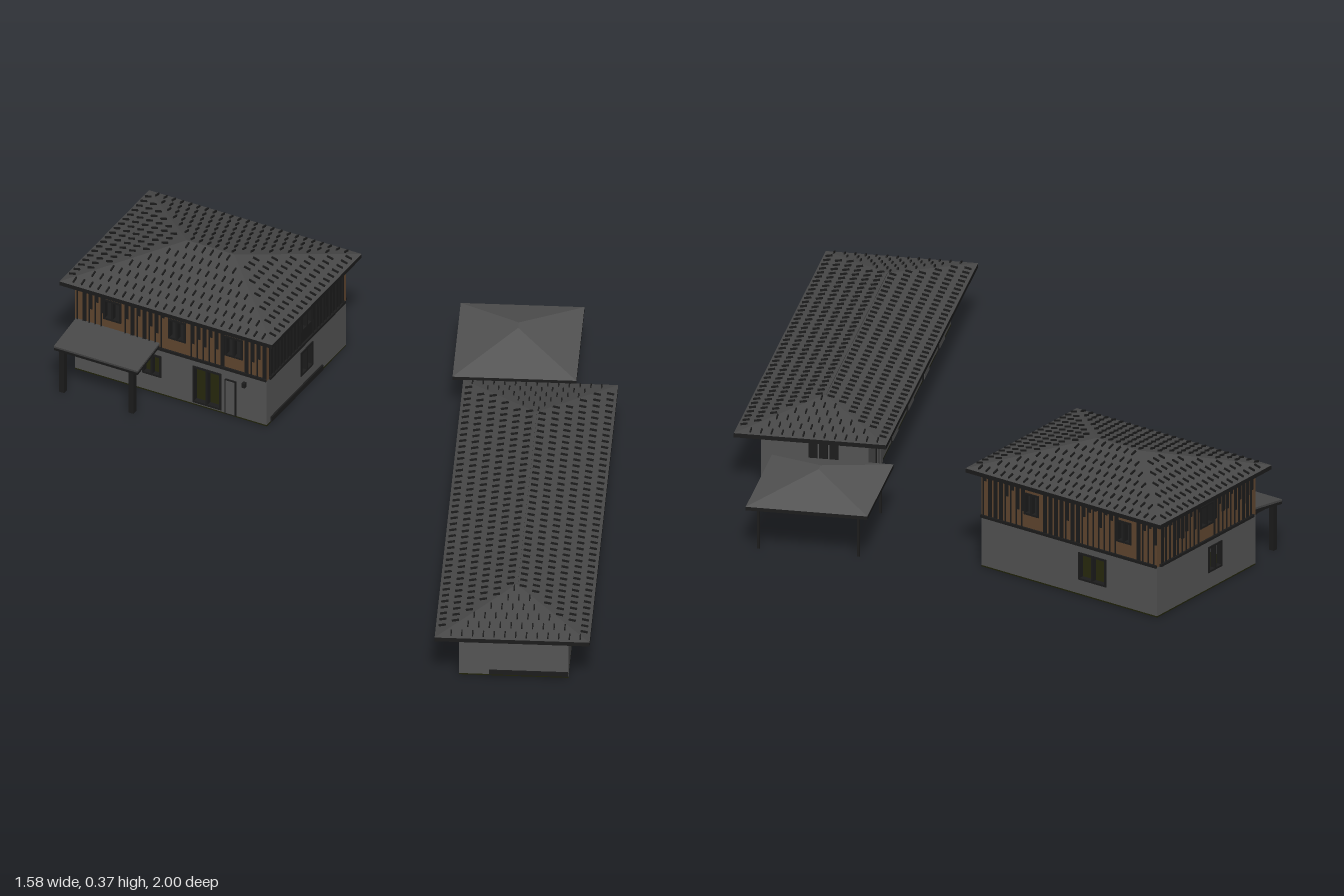
import * as THREE from 'three';
import { mergeGeometries } from 'three/addons/utils/BufferGeometryUtils.js';

const material = (name, color, side = THREE.FrontSide) => {
  const m = new THREE.MeshStandardMaterial({ color, side });
  m.name = name;
  return m;
};

export function createModel() {
  const plaster = material('grey plaster', 0x545454);
  const roofGrey = material('roof tile grey', 0x484848);
  const dark = material('dark timber', 0x1c1c1c);
  const wood = material('brown timber', 0x60462f);
  const olive = material('olive base', 0x20220a);

  let seed = 7;
  const rand = () => (seed = (seed * 16807) % 2147483647) / 2147483647;

  const add = (parent, name, geo, mat) => {
    const mesh = new THREE.Mesh(geo, mat);
    mesh.name = name;
    parent.add(mesh);
    return mesh;
  };
  const boxGeo = (w, h, d, x, y, z) => new THREE.BoxGeometry(w, h, d).translate(x, y, z);
  const group = (parent, name, x = 0, z = 0, turn = 0) => {
    const g = new THREE.Group();
    g.name = name;
    g.position.set(x, 0, z);
    g.rotation.y = turn;
    parent.add(g);
    return g;
  };

  // Hipped roof: four slopes over a dark eave board, with optional raised tile edges
  function hipRoof(parent, name, w, d, eave, peak, mat, tileGap = 0, board = 0.012) {
    const a = w / 2, b = d / 2, m = Math.min(a, b), rx = a - m, rz = b - m;
    const A = [-a, eave, b], B = [a, eave, b], C = [a, eave, -b], D = [-a, eave, -b];
    const P = [-rx, peak, rz], Q = [rx, peak, rz], R = [rx, peak, -rz], S = [-rx, peak, -rz];
    const quads = [[A, B, Q, P], [B, C, R, Q], [C, D, S, R], [D, A, P, S]];
    const pos = quads.flatMap(([i, j, k, l]) => [i, j, k, i, k, l]).flat();
    const geo = new THREE.BufferGeometry();
    geo.setAttribute('position', new THREE.Float32BufferAttribute(pos, 3));
    geo.computeVertexNormals();
    add(parent, name + 'Slopes', geo, mat);
    add(parent, name + 'EaveBoard', boxGeo(w, board, d, 0, eave - board / 2 - 0.0005, 0), dark);
    if (!tileGap) return;
    const tiles = [], pitch = Math.atan2(peak - eave, m), rows = Math.round(m / 0.035);
    for (let side = 0; side < 4; side++) {
      const half = side % 2 ? b : a, reach = side % 2 ? a : b;
      for (let r = 0; r < rows; r++) {
        const t = (r + 0.5) / rows, lim = half - m * t - 0.008;
        for (let x = -half + tileGap * (0.5 + (r % 2) / 2); x < half; x += tileGap) {
          if (Math.abs(x) > lim) continue;
          tiles.push(new THREE.BoxGeometry(0.0035, 0.007, 0.02).rotateX(pitch)
            .translate(x, eave + (peak - eave) * t + 0.002, reach - m * t)
            .rotateY(side * Math.PI / 2));
        }
      }
    }
    add(parent, name + 'TileEdges', mergeGeometries(tiles), dark);
  }

  // Wall panel with real openings; each hole is [centre, bottom, top, width]
  const T = 0.012;
  function wall(parent, name, w, y0, y1, holes, mat) {
    const s = new THREE.Shape();
    s.moveTo(-w / 2, y0).lineTo(w / 2, y0).lineTo(w / 2, y1).lineTo(-w / 2, y1).closePath();
    const bars = [];
    for (const [c, lo, hi, hw] of holes) {
      const p = new THREE.Path();
      p.moveTo(c - hw / 2, lo).lineTo(c - hw / 2, hi).lineTo(c + hw / 2, hi).lineTo(c + hw / 2, lo).closePath();
      s.holes.push(p);
      for (const k of [-1, 0, 1]) bars.push(boxGeo(0.006, hi - lo, 0.016, c + k * hw / 2, (lo + hi) / 2, -T / 2 + 0.001));
      for (const y of [lo, hi]) bars.push(boxGeo(hw + 0.006, 0.006, 0.016, c, y, -T / 2 + 0.001));
    }
    add(parent, name, new THREE.ExtrudeGeometry(s, { depth: T, bevelEnabled: false }).translate(0, 0, -T), mat);
    if (bars.length) add(parent, name + 'WindowFrames', mergeGeometries(bars), dark);
  }

  // Vertical battens and weathered boards, kept clear of the openings
  function cladding(parent, w, holes) {
    const parts = [];
    for (let x = -w / 2 + 0.008; x < w / 2; x += 0.019) {
      if (holes.some(([c, , , hw]) => Math.abs(x - c) < hw / 2 + 0.007)) continue;
      parts.push(boxGeo(0.003, 0.132, 0.004, x, 0.222, 0.002));
      const h = 0.02 + rand() * 0.07;
      parts.push(boxGeo(0.012, h, 0.003, x + 0.004, 0.288 - h / 2, 0.0015));
      if (rand() < 0.3) parts.push(boxGeo(0.008, 0.13, 0.002, x + 0.005, 0.222, 0.001));
    }
    add(parent, 'claddingBoards', mergeGeometries(parts), dark);
  }

  const root = new THREE.Group();
  root.name = 'farmstead';

  // Two-storey house
  const house = group(root, 'house', -0.365, -0.62, -25 * Math.PI / 180);
  const W = 0.607, D = 0.462;
  const sides = [
    ['front', W, D / 2, 0, [[-0.06, 0.06, 0.125, 0.055], [0.115, 0.012, 0.127, 0.085]],
      [[-0.185, 0.2, 0.26, 0.05], [0.02, 0.2, 0.26, 0.05], [0.2, 0.2, 0.26, 0.05]], wood],
    ['left', D - 2 * T, W / 2, 1, [[0, 0.055, 0.127, 0.065]], [[0, 0.2, 0.26, 0.055]], dark],
    ['back', W, D / 2, 2, [[0.08, 0.05, 0.127, 0.09]], [[-0.13, 0.2, 0.26, 0.045], [0.19, 0.2, 0.26, 0.045]], wood],
    ['right', D - 2 * T, W / 2, 3, [[0.04, 0.055, 0.127, 0.06]], [[0, 0.2, 0.26, 0.055]], wood],
  ];
  for (const [name, w, dist, turn, low, high, clad] of sides) {
    const holder = group(house, name + 'Side', 0, 0, turn * Math.PI / 2);
    const face = group(holder, name + 'Walls', 0, dist);
    wall(face, name + 'GroundWall', w, 0.004, 0.152, low, plaster);
    wall(face, name + 'UpperWall', w, 0.152, 0.289, high, clad);
    cladding(face, w, high);
    add(face, 'floorBand', boxGeo(w, 0.008, 0.006, 0, 0.154, 0.003), dark);
  }
  add(house, 'foundation', boxGeo(W, 0.004, D, 0, 0.002, 0), olive);
  add(house, 'upperFloor', boxGeo(W - 0.03, 0.006, D - 0.03, 0, 0.152, 0), dark);
  add(house, 'frontDoor', boxGeo(0.035, 0.115, 0.006, 0.19, 0.062, D / 2 + 0.001), dark);
  add(house, 'frontDoorPanel', boxGeo(0.027, 0.107, 0.006, 0.19, 0.062, D / 2 + 0.003), plaster);
  add(house, 'wallLamp', boxGeo(0.01, 0.014, 0.012, 0.235, 0.12, D / 2 + 0.006), dark);
  add(house, 'sidePlinth', boxGeo(0.006, 0.016, 0.3, W / 2 + 0.002, 0.012, 0.06), dark);
  hipRoof(house, 'houseRoof', 0.673, 0.523, 0.299, 0.367, roofGrey, 0.026);

  // Entrance porch: sloping roof on posts
  const porch = group(house, 'porch', -0.168, 0.292);
  const slope = Math.atan2(0.02, 0.135);
  const slab = (h, mat, y, name) =>
    add(porch, name, new THREE.BoxGeometry(0.265, h, 0.137).rotateX(slope).translate(0, y, 0), mat);
  slab(0.006, roofGrey, 0.159, 'porchRoof');
  slab(0.008, dark, 0.152, 'porchRoofBoards');
  for (const x of [-0.112, 0.108]) {
    add(porch, 'porchPost', boxGeo(0.016, 0.146, 0.016, x, 0.073, 0.053), dark);
    add(porch, 'porchBeam', boxGeo(0.01, 0.01, 0.12, x, 0.143, 0), dark);
  }
  add(porch, 'porchFrontBeam', boxGeo(0.236, 0.01, 0.012, 0, 0.139, 0.053), dark);

  // Long outbuilding
  const barn = group(root, 'outbuilding', 0.575, 0.35);
  add(barn, 'barnWalls', boxGeo(0.305, 0.15, 1.16, 0, 0.079, 0), plaster);
  add(barn, 'barnBase', boxGeo(0.305, 0.004, 1.16, 0, 0.002, 0), olive);
  add(barn, 'barnPlinth', boxGeo(0.22, 0.014, 0.004, 0.042, 0.012, 0.581), dark);
  for (let i = 0; i < 5; i++) {
    const z = -0.44 + i * 0.22;
    add(barn, 'barnDoorFrame', boxGeo(0.006, 0.125, 0.085, -0.153, 0.066, z), dark);
    for (const s of [-1, 1])
      add(barn, 'barnDoorLeaf', boxGeo(0.006, 0.115, 0.036, -0.1545, 0.064, z + s * 0.019), plaster);
  }
  for (const x of [-0.055, -0.025, 0.005])
    add(barn, 'endWindow', boxGeo(0.024, 0.06, 0.006, x, 0.095, -0.581), dark);
  const barnRoof = group(barn, 'barnRoof');
  hipRoof(barnRoof, 'barnRoof', 0.432, 1.3, 0.166, 0.21, roofGrey, 0.03);
  add(barnRoof, 'ridgeCap', boxGeo(0.006, 0.004, 0.868, 0, 0.21, 0), roofGrey);

  // Open canopy on four thin posts
  const canopy = group(root, 'canopy', 0.498, -0.545);
  hipRoof(canopy, 'canopyRoof', 0.345, 0.372, 0.136, 0.192, plaster, 0, 0.01);
  for (const x of [-0.142, 0.142]) for (const z of [-0.155, 0.155])
    add(canopy, 'canopyPost', boxGeo(0.007, 0.128, 0.007, x, 0.064, z), dark);

  return root;
}
